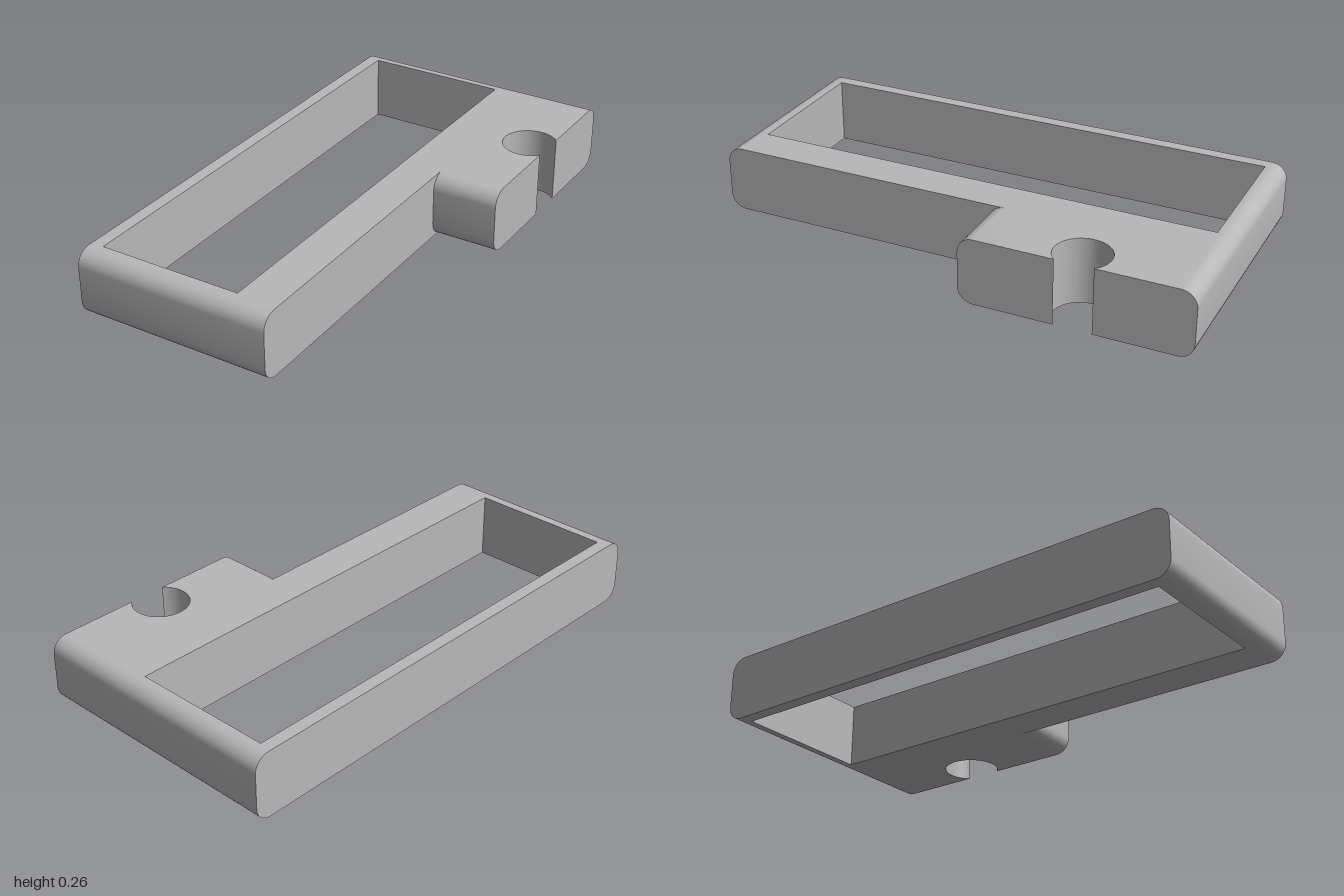
import * as THREE from 'three';
import { toCreasedNormals } from 'three/addons/utils/BufferGeometryUtils.js';

const HEIGHT = 0.26, ROUND = 0.06, ARC = 8;
const LEFT = -0.518, RIGHT = 0.518, RAIL = 0.258, TAB_FRONT = -0.12;
const SLOT = { x: 0.44, z: -0.56, r: 0.107 };

// Plan outline, drawn with the shape's y pointing to the back (-z)
function planShape() {
  const half = Math.sqrt(SLOT.r ** 2 - (RIGHT - SLOT.x) ** 2);
  const a = Math.atan2(half, RIGHT - SLOT.x);
  const shape = new THREE.Shape();
  shape.moveTo(LEFT, -1);
  shape.lineTo(RAIL, -1);
  shape.lineTo(RAIL, -TAB_FRONT);
  shape.lineTo(RIGHT, -TAB_FRONT);
  shape.lineTo(RIGHT, -SLOT.z - half);
  // Round slot opening through the side of the tab
  shape.absarc(SLOT.x, -SLOT.z, SLOT.r, -a, a, true);
  shape.lineTo(RIGHT, 1);
  shape.lineTo(LEFT, 1);
  shape.closePath();

  // Long rectangular window
  const hole = new THREE.Path();
  hole.moveTo(-0.468, -0.92);
  hole.lineTo(-0.468, 0.926);
  hole.lineTo(0.1, 0.926);
  hole.lineTo(0.1, -0.92);
  hole.closePath();
  shape.holes.push(hole);
  return shape;
}

export function createModel() {
  const grey = new THREE.MeshStandardMaterial({ color: 0xb8b8b8 });
  grey.name = 'grey';

  // One layer per arc step, plus one for the straight wall
  const steps = ARC * 2 + 1;
  const geometry = new THREE.ExtrudeGeometry(planShape(), {
    depth: steps, steps, bevelEnabled: false, curveSegments: 48,
  });
  geometry.rotateX(-Math.PI / 2);

  // Pull the end edges and the tab's front edge in to round them, top and bottom
  const p = geometry.attributes.position;
  for (let i = 0; i < p.count; i++) {
    const layer = Math.round(p.getY(i));
    const k = Math.min(layer, steps - layer);
    const t = (k / ARC) * Math.PI / 2;
    const rise = ROUND * (1 - Math.cos(t));
    const inset = ROUND * (1 - Math.sin(t));
    const z = p.getZ(i);
    const isFront = Math.abs(z - 1) < 1e-3 || Math.abs(z - TAB_FRONT) < 1e-3;
    const isBack = Math.abs(z + 1) < 1e-3;
    p.setY(i, layer === k ? rise : HEIGHT - rise);
    p.setZ(i, z + (isBack ? inset : isFront ? -inset : 0));
  }

  const frame = new THREE.Mesh(toCreasedNormals(geometry, Math.PI / 6), grey);
  frame.name = 'slottedFrame';
  const group = new THREE.Group();
  group.name = 'bracket';
  group.add(frame);
  return group;
}
